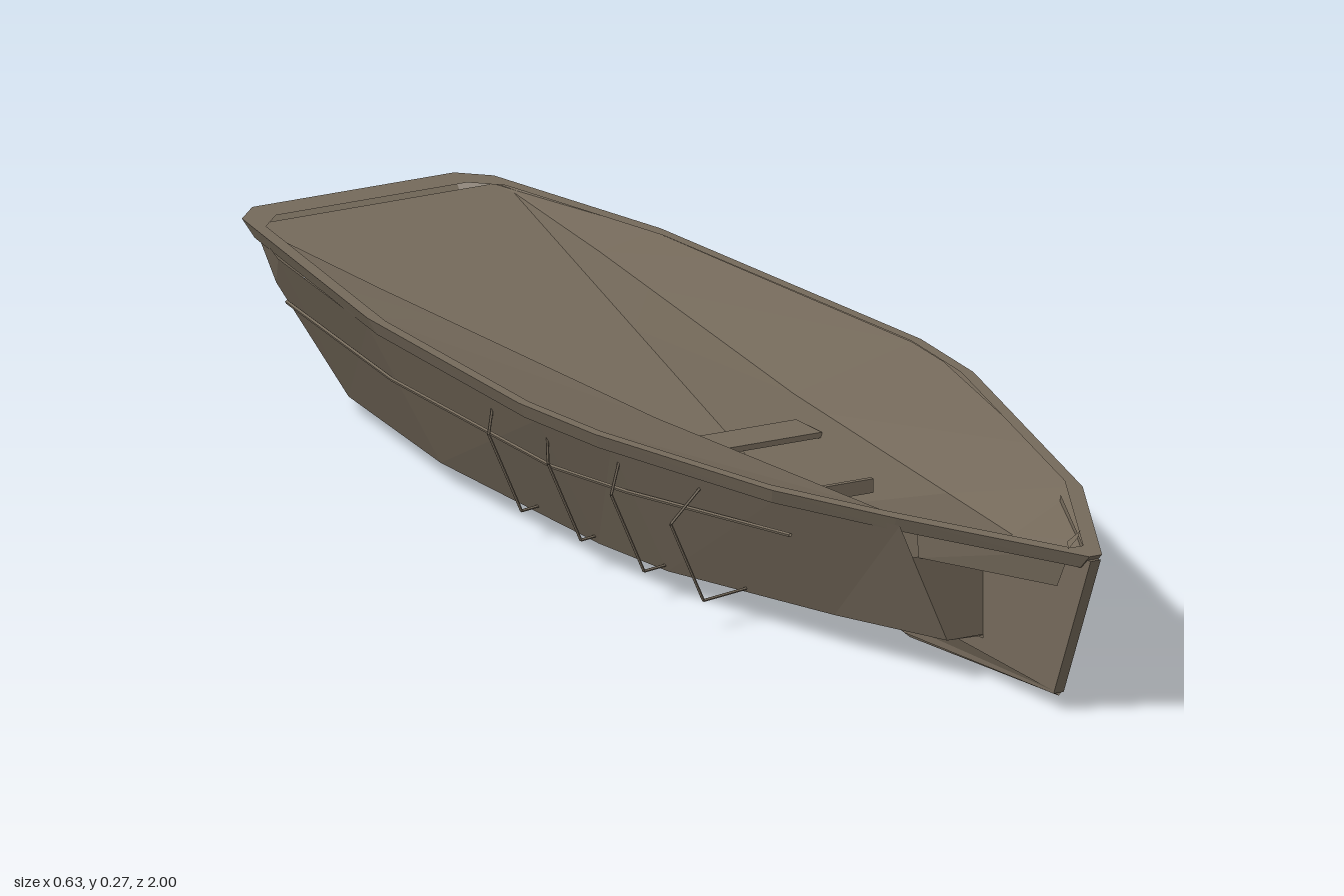
import * as THREE from 'three';

const wood = new THREE.MeshStandardMaterial({ color: 0x74695a, side: THREE.DoubleSide, flatShading: true });
wood.name = 'weathered wood';

// Faceted surface stretched over rows of points
function loft(name, rows) {
  const pos = [];
  for (let i = 0; i < rows.length - 1; i++) {
    for (let j = 0; j < rows[i].length - 1; j++) {
      const a = rows[i][j], b = rows[i][j + 1], c = rows[i + 1][j + 1], d = rows[i + 1][j];
      pos.push(...a, ...b, ...c, ...a, ...c, ...d);
    }
  }
  const g = new THREE.BufferGeometry();
  g.setAttribute('position', new THREE.Float32BufferAttribute(pos, 3));
  g.computeVertexNormals();
  return named(name, g);
}

function named(name, geometry) {
  const m = new THREE.Mesh(geometry, wood);
  m.name = name;
  return m;
}

// Box placed by its centre
function box(name, size, centre) {
  const m = named(name, new THREE.BoxGeometry(...size));
  m.position.set(...centre);
  return m;
}

// Piecewise linear lookup in [z, value] pairs sorted by z
function lookup(table, z) {
  if (z <= table[0][0]) return table[0][1];
  for (let i = 1; i < table.length; i++) {
    const [z0, v0] = table[i - 1], [z1, v1] = table[i];
    if (z <= z1) return v0 + (v1 - v0) * (z - z0) / (z1 - z0);
  }
  return table[table.length - 1][1];
}

// Chain of straight round rods through the given points
function rods(name, points, r) {
  const group = new THREE.Group();
  group.name = name;
  for (let i = 1; i < points.length; i++) {
    const path = new THREE.LineCurve3(new THREE.Vector3(...points[i - 1]), new THREE.Vector3(...points[i]));
    group.add(named(name + 'Rod', new THREE.TubeGeometry(path, 1, r, 5, false)));
  }
  return group;
}

// Gunwale half-widths, slightly different on each side
const leftEdge = [[-1, 0.16], [-0.96, 0.2], [-0.63, 0.27], [0, 0.312], [0.17, 0.295], [0.71, 0.15], [1, 0.01]];
const rightEdge = [[-1, 0.16], [-0.96, 0.2], [-0.47, 0.29], [-0.02, 0.315], [0.16, 0.3], [0.51, 0.225], [0.71, 0.145], [1, 0.01]];

// Hull stations: [top x, y, z, chine x, y, z, right chine x]
const stations = [
  [0.14, 0.24, 0.71, 0.065, 0.065, 0.71, 0.065],
  [0.21, 0.235, 0.5, 0.12, 0.055, 0.5, 0.12],
  [0.28, 0.232, 0.17, 0.19, 0.042, 0.17, 0.19],
  [0.297, 0.23, 0, 0.2, 0.039, 0, 0.2],
  [0.272, 0.23, -0.5, 0.19, 0.034, -0.45, 0.185],
  [0.225, 0.235, -0.82, 0.165, 0.028, -0.8, 0.125],
  [0.185, 0.24, -0.95, 0.175, 0.17, -0.91, 0.175],
];

export function createModel() {
  const boat = new THREE.Group();
  boat.name = 'boat';

  // Gunwale rim
  const loop = [
    ...leftEdge.map(([z, x]) => [x, z]),
    ...rightEdge.slice().reverse().map(([z, x]) => [-x, z]),
  ];
  loop.push(loop[0]);
  const ring = (s, sz, y) => loop.map(([x, z]) => [x * s, y, z * sz]);
  boat.add(loft('gunwale', [ring(0.94, 0.94, 0.23), ring(0.97, 0.975, 0.23), ring(1, 1, 0.252), ring(0.95, 0.95, 0.252)]));

  // Hull sides, bottom and transom
  boat.add(loft('leftHullSide', stations.map(p => [[p[0], p[1], p[2]], [p[3], p[4], p[5]]])));
  boat.add(loft('rightHullSide', stations.map(p => [[-p[0], p[1], p[2]], [-p[6], p[4], p[5]]])));
  boat.add(loft('hullBottom', stations.map(p => [
    [-p[6], p[4], p[5]], [0, p[4] - 0.002, p[5]], [p[3], p[4], p[5]],
  ])));
  const t = stations[stations.length - 1];
  boat.add(loft('transom', [
    [[-t[0], t[1], t[2]], [t[0], t[1], t[2]]],
    [[-t[6], t[4], t[5]], [t[3], t[4], t[5]]],
  ]));

  // Bulkhead closing the front of the hull
  boat.add(loft('bulkhead', [
    [[-0.12, 0.192, 0.71], [0.12, 0.192, 0.71]],
    [[-0.065, 0.065, 0.71], [0.065, 0.065, 0.71]],
  ]));

  // Interior: sloping side decks, steep well walls and a floor rising aft
  const wellTop = [[-0.9, 0.2], [0.94, 0.016]];
  const wellTopY = [[-0.9, 0.246], [0, 0.205], [0.71, 0.2], [0.94, 0.235]];
  const wellFoot = [[-0.9, 0.196], [0.1, 0.052], [0.94, 0.01]];
  const wellFootY = [[-0.9, 0.244], [0.1, 0.075], [0.7, 0.068], [0.71, 0.19], [0.94, 0.225]];
  const sections = [-0.95, -0.9, -0.63, -0.47, 0, 0.1, 0.5, 0.7, 0.71, 0.94].map(z => {
    const l = lookup(leftEdge, z) * 0.955, r = lookup(rightEdge, z) * 0.955;
    const w = Math.min(lookup(wellTop, z), l), f = Math.min(lookup(wellFoot, z), w);
    const wy = lookup(wellTopY, z), fy = lookup(wellFootY, z);
    return [[-r, 0.25, z], [-w, wy, z], [-f, fy, z], [f, fy, z], [w, wy, z], [l, 0.25, z]];
  });
  ['sideDeck', 'wellWall', 'floor', 'wellWall', 'sideDeck'].forEach((name, i) => {
    boat.add(loft(name, sections.map(p => p.slice(i, i + 2))));
  });

  // Thwart, cross frame and drain fitting
  boat.add(box('thwart', [0.19, 0.008, 0.07], [-0.005, 0.178, 0.075]));
  boat.add(box('crossFrame', [0.11, 0.02, 0.008], [-0.012, 0.17, 0.325]));
  boat.add(box('drainFitting', [0.01, 0.02, 0.012], [0, 0.021, -0.74]));

  // Stem plate drawn in profile (z, y)
  const profile = [[1, 0.245], [0.9, 0.03], [0.5, 0.012], [0.3, 0.036], [0.71, 0.06], [0.71, 0.188], [0.9, 0.235]];
  const stem = new THREE.ExtrudeGeometry(new THREE.Shape(profile.map(p => new THREE.Vector2(...p))), { depth: 0.016, bevelEnabled: false });
  stem.rotateY(-Math.PI / 2).translate(0.008, 0, 0);
  boat.add(named('stem', stem));

  // V-shaped forefoot of the keel
  boat.add(loft('forefoot', [
    [[-0.008, 0.034, 0.9], [0, 0.026, 0.9], [0.008, 0.034, 0.9]],
    [[-0.022, 0.055, 0.5], [0, 0.005, 0.5], [0.022, 0.055, 0.5]],
    [[-0.022, 0.046, 0.28], [0, 0.036, 0.28], [0.022, 0.046, 0.28]],
  ]));

  for (const s of [1, -1]) {
    // Upright panels under the bow deck
    boat.add(loft('bowPanel', [
      [[s * 0.012, 0.246, 0.95], [s * 0.115, 0.246, 0.71]],
      [[s * 0.014, 0.19, 0.92], [s * 0.11, 0.19, 0.71]],
    ]));

    // Rubbing rail and bent side brackets
    const rail = [[0.19, 0.18, 0.5], [0.253, 0.165, 0.17], [0.273, 0.16, 0], [0.25, 0.158, -0.47], [0.205, 0.168, -0.83]];
    boat.add(rods('rubbingRail', rail.map(([x, y, z]) => [s * x, y, z]), 0.003));
    for (const z of [0.33, 0.17, 0, -0.16]) {
      const x = lookup(leftEdge, z);
      boat.add(rods('bracket', [
        [s * (x - 0.03), 0.22, z], [s * 0.28, 0.165, z], [s * 0.228, 0.048, z], [s * 0.16, 0.055, z],
      ], 0.0022));
    }
  }

  // Small vane at the bow
  boat.add(loft('bowVane', [
    [[-0.02, 0.254, 0.96], [-0.005, 0.268, 0.96]],
    [[-0.01, 0.258, 0.94], [0.005, 0.274, 0.95]],
  ]));

  return boat;
}
